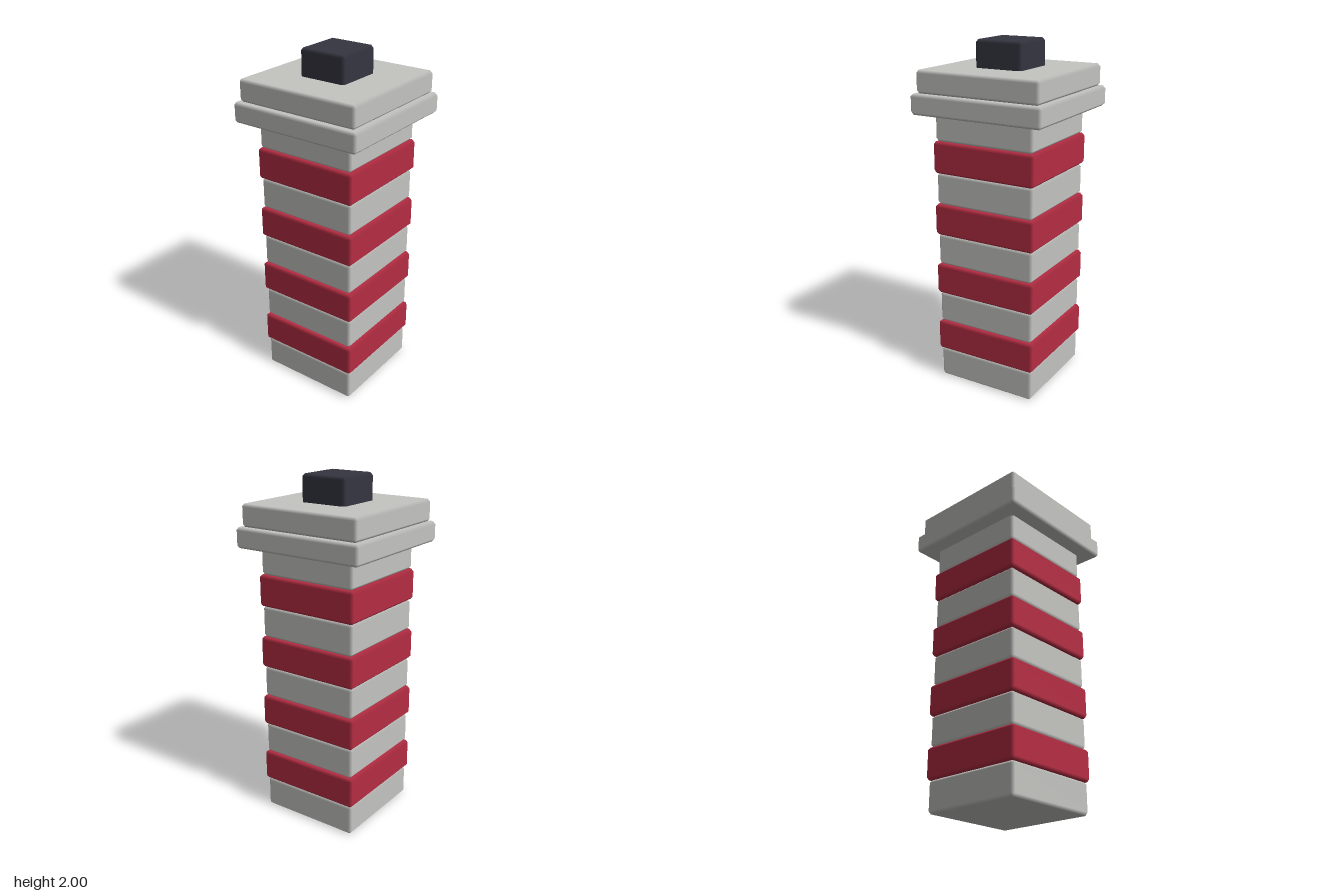
import * as THREE from 'three';
import { ConvexGeometry } from 'three/addons/geometries/ConvexGeometry.js';

const BEVEL = 0.016;

// Square block with chamfered edges; bevels blend between flat face normals
function chamferedBlock(width, height) {
  const half = [width / 2, height / 2, width / 2];
  const points = [];
  for (let axis = 0; axis < 3; axis++) {
    for (const sx of [-1, 1]) for (const sy of [-1, 1]) for (const sz of [-1, 1]) {
      const p = [sx, sy, sz].map((s, i) => s * (half[i] - (i === axis ? 0 : BEVEL)));
      points.push(new THREE.Vector3(...p));
    }
  }
  const geometry = new ConvexGeometry(points);
  const pos = geometry.attributes.position;
  const normal = geometry.attributes.normal;
  for (let i = 0; i < pos.count; i++) {
    const p = [pos.getX(i), pos.getY(i), pos.getZ(i)];
    const n = p.map((v, k) => (Math.abs(v) > half[k] - BEVEL / 2 ? Math.sign(v) : 0));
    normal.setXYZ(i, ...n);
  }
  return geometry;
}

export function createModel() {
  const group = new THREE.Group();
  const stone = new THREE.MeshStandardMaterial({ color: 0xc4c4c1 });
  stone.name = 'pale stone';
  const red = new THREE.MeshStandardMaterial({ color: 0xb52d43 });
  red.name = 'red';
  const dark = new THREE.MeshStandardMaterial({ color: 0x353541 });
  dark.name = 'dark slate';

  const addBlock = (name, width, bottom, top, material) => {
    const mesh = new THREE.Mesh(chamferedBlock(width, top - bottom), material);
    mesh.name = name;
    mesh.position.y = (bottom + top) / 2;
    group.add(mesh);
  };

  // Striped shaft: alternating stone and slightly wider red courses
  const step = 0.1817;
  for (let i = 0; i < 9; i++) {
    const isRed = i % 2 === 1;
    addBlock(isRed ? 'redBand' : 'stoneBand', isRed ? 0.634 : 0.61,
      i * step, (i + 1) * step, isRed ? red : stone);
  }

  // Stepped cap and top block
  addBlock('capLedge', 0.8, 1.607, 1.722, stone);
  addBlock('capSlab', 0.75, 1.722, 1.848, stone);
  addBlock('topBlock', 0.286, 1.83, 2, dark);

  return group;
}
